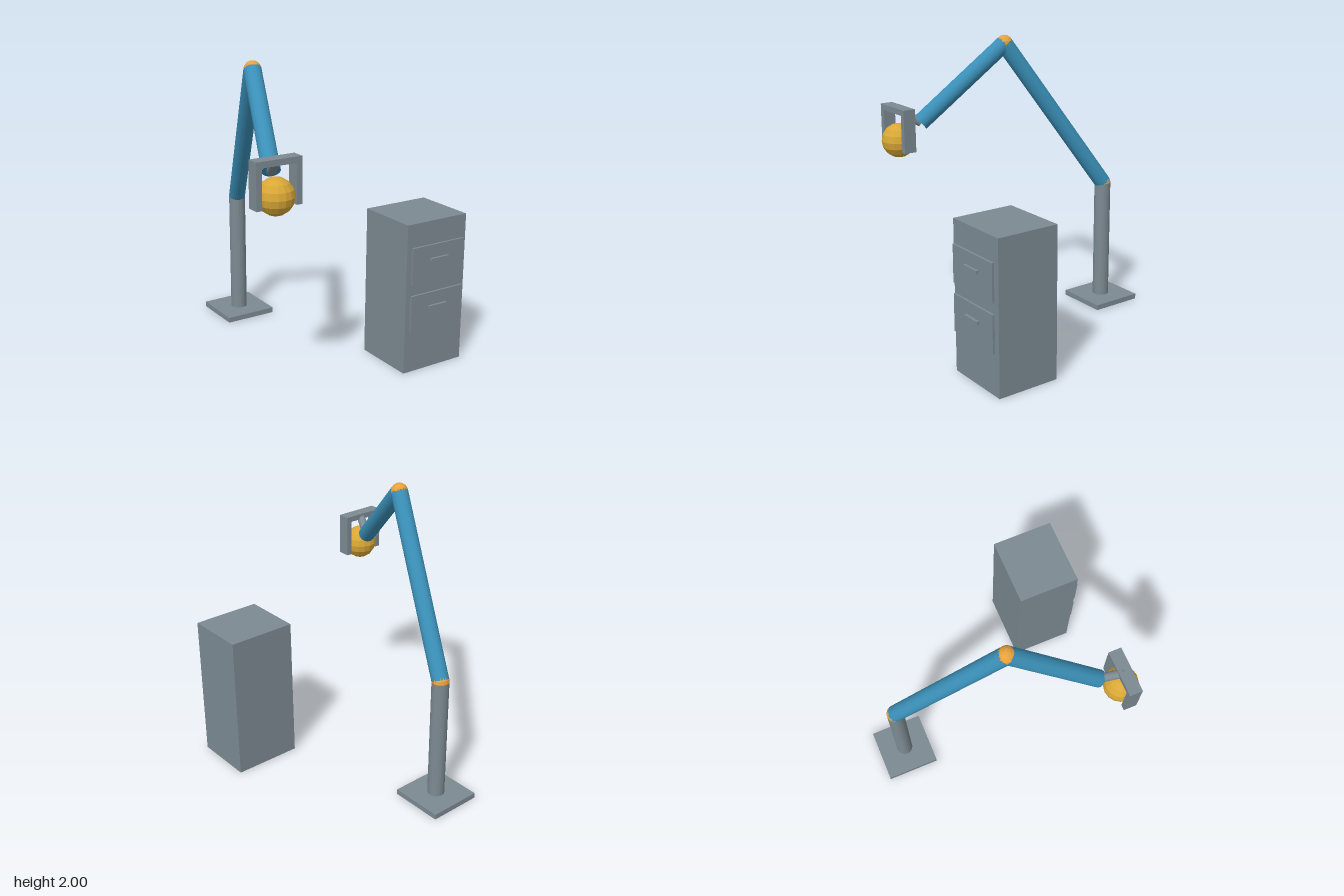
import * as THREE from 'three';

const material = (name, color, flatShading = false) => {
  const m = new THREE.MeshStandardMaterial({ color, flatShading });
  m.name = name;
  return m;
};

export function createModel() {
  const model = new THREE.Group();
  model.name = 'robotArmAndCabinet';

  const grey = material('steelGrey', 0x7c8a92, true);
  const blue = material('armBlue', 0x3a8fb7, true);
  const orange = material('jointOrange', 0xe8a23d, true);
  const gold = material('ballGold', 0xd9a736, true);

  const add = (parent, name, geometry, mat) => {
    const mesh = new THREE.Mesh(geometry, mat);
    mesh.name = name;
    parent.add(mesh);
    return mesh;
  };

  // Box given by its lower and upper limits
  const box = (parent, name, x0, x1, y0, y1, z0, z1, mat = grey) =>
    add(parent, name, new THREE.BoxGeometry(x1 - x0, y1 - y0, z1 - z0), mat)
      .position.set((x0 + x1) / 2, (y0 + y1) / 2, (z0 + z1) / 2);

  // Cylinder running between two points
  const rod = (parent, name, a, b, radius, mat) => {
    const dir = b.clone().sub(a);
    const mesh = add(parent, name, new THREE.CylinderGeometry(radius, radius, dir.length(), 24), mat);
    mesh.position.copy(a).add(b).multiplyScalar(0.5);
    mesh.quaternion.setFromUnitVectors(new THREE.Vector3(0, 1, 0), dir.normalize());
  };

  const ball = (parent, name, p, radius, mat) =>
    add(parent, name, new THREE.SphereGeometry(radius, 16, 8), mat).position.copy(p);

  // Joint positions along the arm
  const foot = new THREE.Vector3(-0.101, 0.03, -0.69);
  const shoulder = new THREE.Vector3(-0.101, 0.9, -0.69);
  const elbow = new THREE.Vector3(-0.35, 1.94, 0);
  const wrist = new THREE.Vector3(-0.55, 1.43, 0.557);
  const hand = new THREE.Vector3(-0.605, 1.53, 0.698);

  // Arm
  const arm = new THREE.Group();
  arm.name = 'robotArm';
  model.add(arm);
  box(arm, 'basePlate', -0.287, 0.085, 0, 0.037, -0.877, -0.504);
  rod(arm, 'column', foot, shoulder, 0.058, grey);
  ball(arm, 'shoulderJoint', shoulder, 0.059, orange);
  rod(arm, 'upperArm', shoulder, elbow, 0.058, blue);
  ball(arm, 'elbowJoint', elbow, 0.059, orange);
  rod(arm, 'forearm', elbow, wrist, 0.058, blue);
  rod(arm, 'wristRod', wrist, hand, 0.029, grey);

  // Gripper bar, its two fingers and the held ball
  const gripper = new THREE.Group();
  gripper.name = 'gripper';
  arm.add(gripper);
  box(gripper, 'gripperBar', -0.76, -0.45, 1.51, 1.549, 0.655, 0.742);
  box(gripper, 'rightFinger', -0.76, -0.722, 1.257, 1.51, 0.655, 0.742);
  box(gripper, 'leftFinger', -0.488, -0.45, 1.257, 1.51, 0.655, 0.742);
  ball(gripper, 'heldBall', new THREE.Vector3(-0.605, 1.317, 0.698), 0.117, gold);

  // Cabinet with two drawers
  const cabinet = new THREE.Group();
  cabinet.name = 'cabinet';
  model.add(cabinet);
  box(cabinet, 'cabinetBody', 0.279, 0.757, 0, 1.02, 0.4, 0.833);
  for (const [name, y] of [['upper', 0.741], ['lower', 0.416]]) {
    box(cabinet, name + 'DrawerFront', 0.307, 0.729, y - 0.126, y + 0.126, 0.844, 0.859);
    box(cabinet, name + 'DrawerHandle', 0.447, 0.589, y + 0.016, y + 0.038, 0.859, 0.877);
  }

  return model;
}
